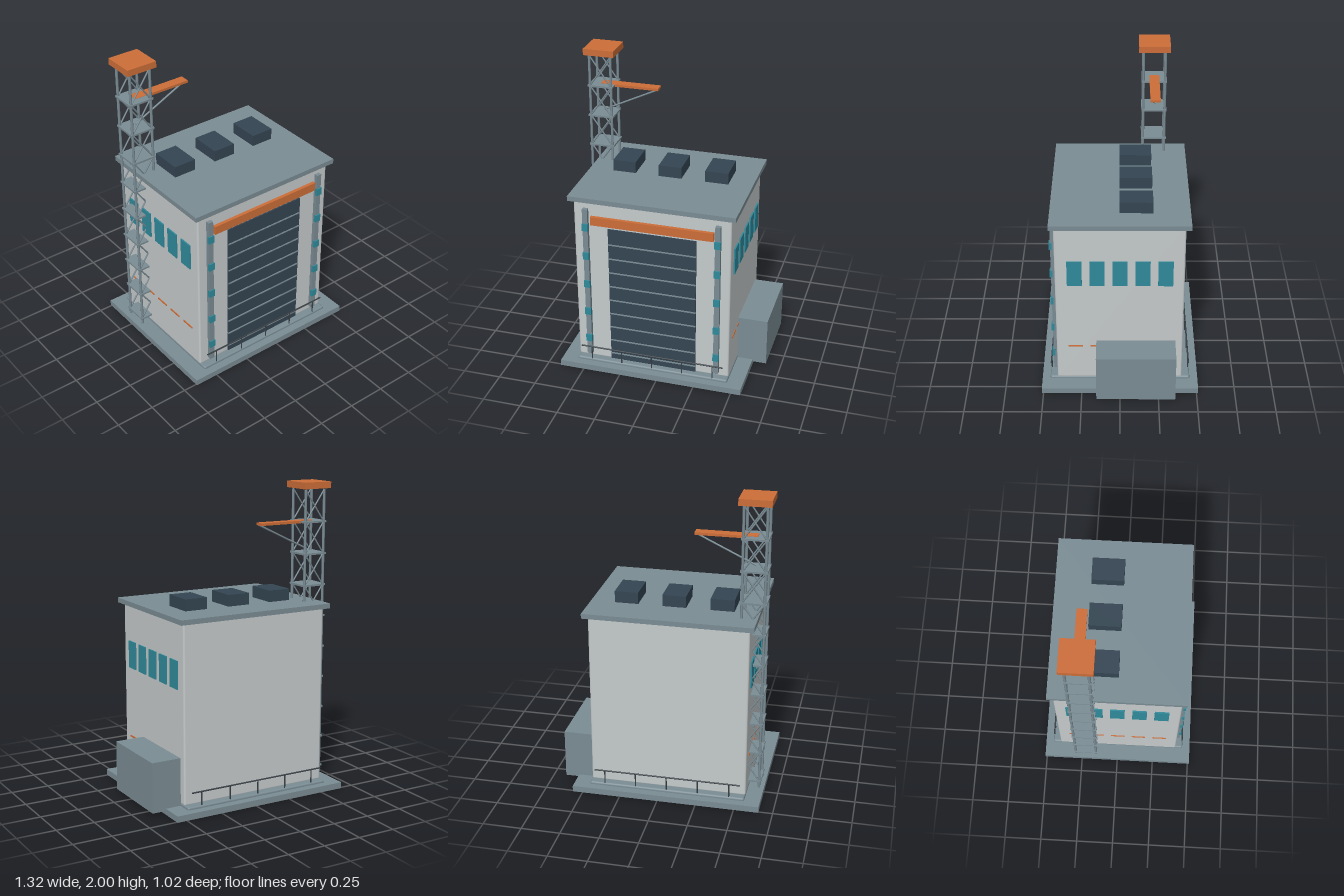
import * as THREE from 'three';
import { RoundedBoxGeometry } from 'three/addons/geometries/RoundedBoxGeometry.js';

const paint = (name, color) => {
  const m = new THREE.MeshStandardMaterial({ color });
  m.name = name;
  return m;
};

export function createModel() {
  const steel = paint('blue grey steel', 0x7a8c94);
  const wall = paint('pale wall', 0xc5cacb);
  const dark = paint('dark slate', 0x344552);
  const orange = paint('safety orange', 0xcc6d38);
  const teal = paint('teal glass', 0x2f8a9b);
  const railing = paint('railing grey', 0x3a4247);

  const model = new THREE.Group();
  model.name = 'hangarWithTower';
  const group = (name) => {
    const g = new THREE.Group();
    g.name = name;
    model.add(g);
    return g;
  };
  const add = (parent, name, geometry, material) => {
    const mesh = new THREE.Mesh(geometry, material);
    mesh.name = name;
    parent.add(mesh);
    return mesh;
  };
  // Box given by its extents on each axis
  const box = (parent, name, material, [x0, x1], [y0, y1], [z0, z1]) => {
    const mesh = add(parent, name, new THREE.BoxGeometry(x1 - x0, y1 - y0, z1 - z0), material);
    mesh.position.set((x0 + x1) / 2, (y0 + y1) / 2, (z0 + z1) / 2);
    return mesh;
  };
  // Round bar between two points
  const bar = (parent, name, material, a, b, radius) => {
    const from = new THREE.Vector3(...a), to = new THREE.Vector3(...b);
    const dir = to.clone().sub(from);
    const mesh = add(parent, name, new THREE.CylinderGeometry(radius, radius, dir.length(), 8), material);
    mesh.position.copy(from).add(to).multiplyScalar(0.5);
    mesh.quaternion.setFromUnitVectors(new THREE.Vector3(0, 1, 0), dir.normalize());
    return mesh;
  };

  // Ground slab, plinth, walls and roof
  const building = group('building');
  box(building, 'groundSlab', steel, [-0.66, 0.565], [0, 0.04], [-0.51, 0.51]);
  const plinth = add(building, 'plinth', new RoundedBoxGeometry(1.02, 0.04, 0.916, 2, 0.012), steel);
  plinth.position.set(-0.048, 0.038, 0);
  const walls = add(building, 'walls', new RoundedBoxGeometry(1.02, 1.16, 0.815, 2, 0.012), wall);
  walls.position.set(-0.05, 0.63, 0.002);
  box(building, 'roof', steel, [-0.59, 0.492], [1.203, 1.235], [-0.438, 0.438]);
  for (const x of [-0.355, -0.048, 0.26])
    box(building, 'roofVent', dark, [x - 0.076, x + 0.076], [1.235, 1.31], [-0.205, 0.003]);
  box(building, 'sideAnnex', steel, [0.45, 0.656], [0.025, 0.35], [-0.357, 0.153]);

  // Large shutter door with slats and a header beam
  const door = group('shutterDoor');
  box(door, 'doorPanel', dark, [-0.335, 0.24], [0.055, 1.027], [0.4, 0.418]);
  for (let i = 1; i <= 9; i++) {
    const y = i * 0.102;
    box(door, 'slat', steel, [-0.335, 0.24], [y - 0.004, y + 0.004], [0.41, 0.423]);
  }
  box(door, 'headerBeam', orange, [-0.445, 0.352], [1.048, 1.105], [0.4, 0.432]);

  // Pilasters with lamps either side of the door
  for (const x of [-0.479, 0.38]) {
    const pilaster = group('pilaster');
    box(pilaster, 'column', steel, [x - 0.017, x + 0.017], [0.08, 1.155], [0.4, 0.435]);
    for (let i = 1; i <= 5; i++) {
      const y = i * 0.206;
      box(pilaster, 'lamp', teal, [x - 0.02, x + 0.02], [y - 0.025, y + 0.025], [0.425, 0.443]);
    }
  }

  // Side windows and orange marker dashes on both flanks
  for (const side of [-1, 1]) {
    const flank = group(side > 0 ? 'leftFlank' : 'rightFlank');
    const face = side > 0 ? 0.46 : -0.56;
    for (let i = -2; i <= 2; i++) {
      const z = i * 0.143;
      const xs = (d) => (side > 0 ? [face, face + d] : [face - d, face]);
      box(flank, 'window', teal, xs(0.009), [0.782, 0.962], [z - 0.047, z + 0.047]);
      box(flank, 'markerDash', orange, xs(0.005), [0.304, 0.315], [z - 0.047, z + 0.047]);
    }
  }

  // Low railings at front and back
  for (const z of [-0.449, 0.451]) {
    const rail = group(z > 0 ? 'frontRailing' : 'backRailing');
    bar(rail, 'handrail', railing, [-0.53, 0.145, z], [0.43, 0.145, z], 0.005);
    for (let i = 0; i < 5; i++) {
      const x = -0.458 + i * 0.205;
      bar(rail, 'post', railing, [x, 0.045, z], [x, 0.145, z], 0.004);
    }
  }

  // Lattice tower with decks, cross braces, cap and jib
  const tower = group('tower');
  const cx = -0.559, cz = -0.223, half = 0.071, step = 0.205;
  for (const sx of [-1, 1])
    for (const sz of [-1, 1]) {
      const x = cx + sx * half, z = cz + sz * half;
      bar(tower, 'leg', steel, [x, 0.06, z], [x, 1.95, z], 0.009);
    }
  for (let i = 0; i < 9; i++) {
    const y = 0.105 + i * step;
    box(tower, 'deck', steel, [cx - 0.084, cx + 0.084], [y - 0.006, y + 0.006], [cz - 0.083, cz + 0.083]);
    for (const sz of [-1, 1])
      for (const s of [-1, 1]) {
        const z = cz + sz * half;
        bar(tower, 'brace', steel, [cx - s * half, y, z], [cx + s * half, y + step, z], 0.005);
      }
  }
  box(tower, 'cap', orange, [-0.66, -0.457], [1.958, 2], [-0.326, -0.122]);
  box(tower, 'jib', orange, [-0.57, -0.183], [1.737, 1.753], [-0.257, -0.192]);
  bar(tower, 'jibStrut', steel, [-0.56, 1.56, cz], [-0.186, 1.738, cz], 0.006);

  return model;
}
